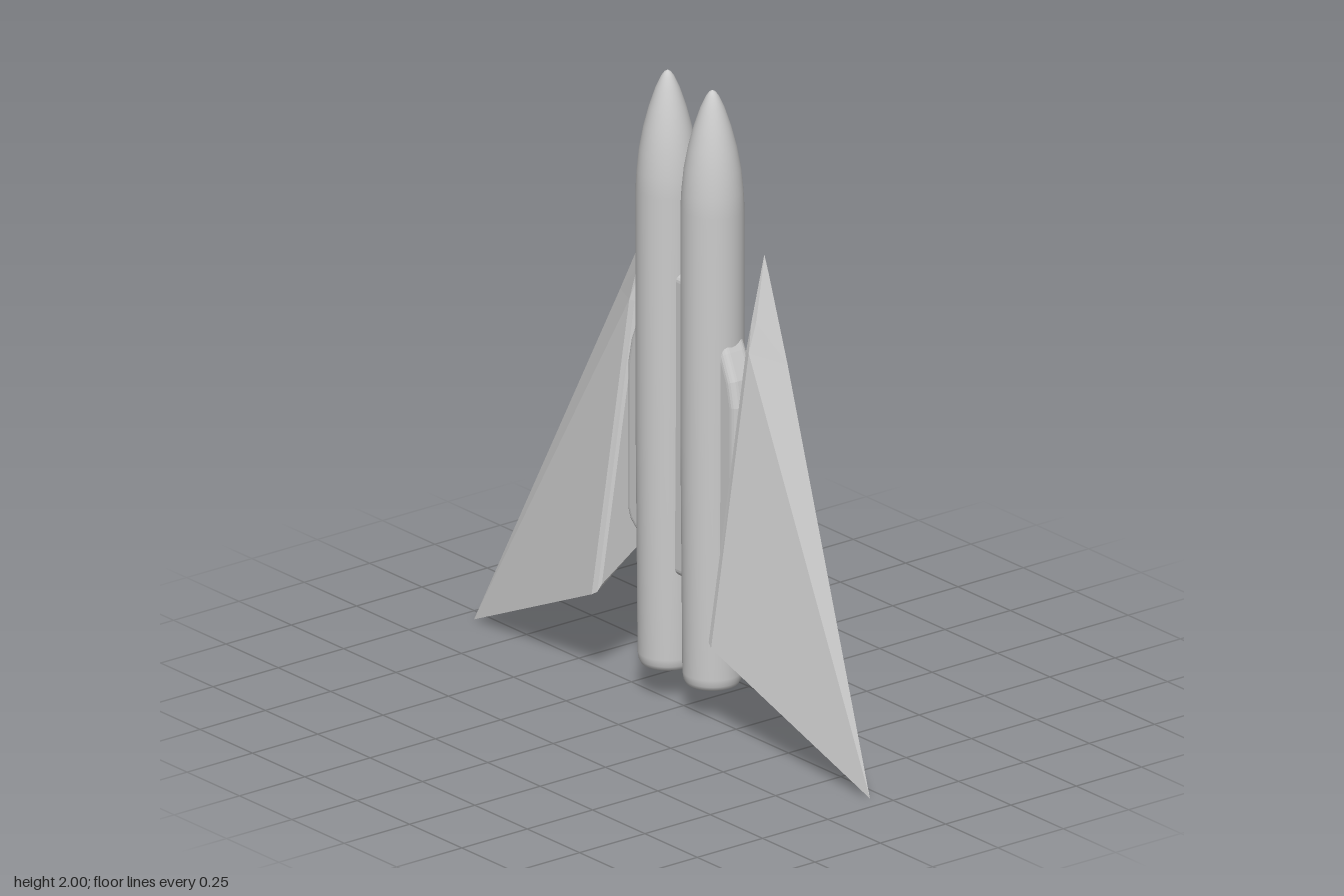
import * as THREE from 'three';

const material = new THREE.MeshStandardMaterial({ color: 0xcccccc });
const flatMaterial = new THREE.MeshStandardMaterial({ color: 0xcccccc, flatShading: true });

// Slender round hull with a pointed nose and a softly rounded tail
function hull(side) {
  const profile = [
    [0, 0.1], [0.07, 0.1], [0.08, 0.105], [0.087, 0.118], [0.09, 0.14], [0.092, 0.4], [0.096, 0.9],
    [0.096, 1.62], [0.093, 1.68], [0.086, 1.75], [0.073, 1.82], [0.056, 1.885], [0.036, 1.945],
    [0.02, 1.98], [0.01, 1.994], [0, 2],
  ].map(([r, y]) => new THREE.Vector2(r, y));
  const mesh = new THREE.Mesh(new THREE.LatheGeometry(profile, 48), material);
  mesh.position.set(side * 0.107, 0, -0.024);
  mesh.name = side > 0 ? 'leftHull' : 'rightHull';
  return mesh;
}

// Bevelled plate that joins the hulls and bulges out to the wing roots
function connector() {
  const inset = 0.025;
  const half = [[0.1, 1.38], [0.16, 1.29], [0.21, 1.19], [0.245, 1.11], [0.262, 1.03],
    [0.262, 0.56], [0.25, 0.525], [0.2, 0.48], [0.13, 0.41]];
  const outline = [...half, ...half.map(([x, y]) => [-x, y]).reverse()]
    .map(([x, y]) => new THREE.Vector2(x, y));
  const geometry = new THREE.ExtrudeGeometry(new THREE.Shape(outline), {
    depth: 0.045, bevelEnabled: true, bevelThickness: 0.025, bevelSize: inset,
    bevelOffset: -inset, bevelSegments: 5,
  });
  geometry.translate(0, 0, -0.055);
  const mesh = new THREE.Mesh(geometry, material);
  mesh.name = 'hullConnector';
  return mesh;
}

// Delta wing: rounded root loops closing to a single swept tip
function wing(side) {
  // each loop: top, upper front, front shoulder, lower front, lower back
  const loops = [
    [[0.26, 1.5, -0.1], [0.26, 1.3, -0.055], [0.26, 1.21, -0.035], [0.26, 0.335, 0.105], [0.26, 0.47, -0.1]],
    [[0.261, 1.498, -0.1], [0.266, 1.3, -0.046], [0.266, 1.21, -0.025], [0.266, 0.312, 0.118], [0.266, 0.468, -0.1]],
    [[0.285, 1.446, -0.097], [0.285, 1.3, -0.048], [0.285, 1.21, -0.02], [0.285, 0.3, 0.124], [0.285, 0.462, -0.095]],
  ];
  const tip = [0.945, 0, 0.045];
  const lead = [0.4, 1.195, -0.077];
  const positions = [];
  const tri = (a, b, c) => {
    for (const [x, y, z] of side > 0 ? [a, b, c] : [a, c, b]) positions.push(side * x, y, z);
  };

  // Root cap and rounded root edge
  const root = loops[0];
  for (let i = 1; i < 4; i++) tri(root[0], root[i + 1], root[i]);
  for (let k = 0; k < 2; k++) {
    for (let i = 0; i < 5; i++) {
      const j = (i + 1) % 5;
      const [a, b, c, d] = [loops[k][i], loops[k][j], loops[k + 1][j], loops[k + 1][i]];
      tri(a, b, c);
      tri(a, c, d);
    }
  }

  // Front, bottom and back skins
  const [top, upper, shoulder, lowFront, lowBack] = loops[2];
  tri(top, upper, lead);
  tri(upper, shoulder, lead);
  tri(shoulder, tip, lead);
  tri(shoulder, lowFront, tip);
  tri(lowFront, lowBack, tip);
  tri(lowBack, lead, tip);
  tri(lowBack, top, lead);

  const geometry = new THREE.BufferGeometry();
  geometry.setAttribute('position', new THREE.Float32BufferAttribute(positions, 3));
  geometry.computeVertexNormals();
  const mesh = new THREE.Mesh(geometry, flatMaterial);
  mesh.name = side > 0 ? 'leftWing' : 'rightWing';
  return mesh;
}

export function createModel() {
  const model = new THREE.Group();
  model.name = 'twinHullSpacecraft';
  model.add(connector());
  for (const side of [1, -1]) model.add(hull(side), wing(side));
  return model;
}
